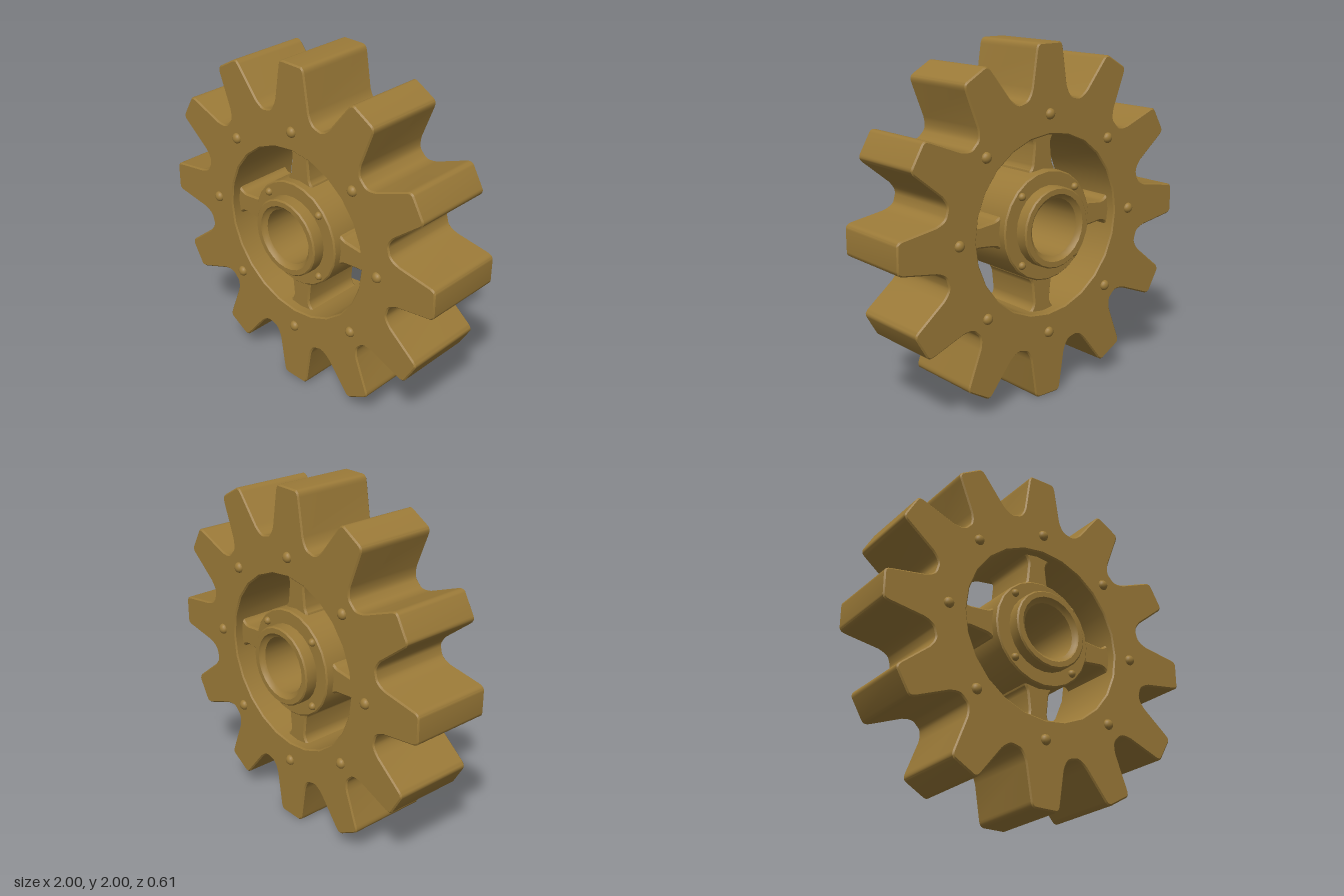
import * as THREE from 'three';
import { toCreasedNormals } from 'three/addons/utils/BufferGeometryUtils.js';

const TEETH = 12;
const HALF = 0.24; // half thickness of the rim

// Extrude centred on z, with a small bevel kept inside the outline
function slab(shape, half, bevel) {
  const geo = new THREE.ExtrudeGeometry(shape, {
    depth: 2 * (half - bevel), curveSegments: 5,
    bevelEnabled: true, bevelThickness: bevel, bevelSize: bevel, bevelOffset: -bevel, bevelSegments: 1,
  });
  geo.translate(0, 0, -(half - bevel));
  return toCreasedNormals(geo, 0.6);
}

// Toothed outline with a 24-sided opening
function gearShape() {
  const shape = new THREE.Shape();
  for (let i = 0; i < TEETH; i++) {
    const a = -i * 2 * Math.PI / TEETH;
    // point given in the frame of one upright tooth
    const p = (x, y) => [x * Math.cos(a) - y * Math.sin(a), x * Math.sin(a) + y * Math.cos(a)];
    if (i === 0) shape.moveTo(...p(-0.168, 0.699));
    else shape.lineTo(...p(-0.168, 0.699));
    // rounded root, then up the flank and over the tip
    shape.quadraticCurveTo(...p(-0.142, 0.708), ...p(-0.125, 0.765));
    shape.lineTo(...p(-0.094, 0.965));
    shape.quadraticCurveTo(...p(-0.088, 1), ...p(-0.062, 1));
    shape.lineTo(...p(0.062, 1));
    shape.quadraticCurveTo(...p(0.088, 1), ...p(0.094, 0.965));
    shape.lineTo(...p(0.125, 0.765));
    shape.quadraticCurveTo(...p(0.142, 0.708), ...p(0.168, 0.699));
  }
  shape.closePath();
  // the opening runs against the direction of the outline
  const ring = [];
  for (let i = 0; i < 24; i++) {
    const t = i * Math.PI / 12;
    ring.push(new THREE.Vector2(0.508 * Math.cos(t), 0.508 * Math.sin(t)));
  }
  shape.holes.push(new THREE.Path(ring));
  return shape;
}

// Spoke with flared ends, pointing up
function spokeShape() {
  const s = new THREE.Shape();
  s.moveTo(-0.09, 0.28);
  s.lineTo(0.09, 0.28);
  s.lineTo(0.087, 0.31);
  s.quadraticCurveTo(0.072, 0.325, 0.07, 0.35);
  s.lineTo(0.06, 0.445);
  s.quadraticCurveTo(0.062, 0.49, 0.1, 0.503);
  s.lineTo(0.1, 0.53);
  s.lineTo(-0.1, 0.53);
  s.lineTo(-0.1, 0.503);
  s.quadraticCurveTo(-0.062, 0.49, -0.06, 0.445);
  s.lineTo(-0.07, 0.35);
  s.quadraticCurveTo(-0.072, 0.325, -0.087, 0.31);
  s.closePath();
  return s;
}

export function createModel() {
  const model = new THREE.Group();
  model.name = 'gearWheel';
  const bronze = new THREE.MeshStandardMaterial({ color: 0x9b7a38 });
  bronze.name = 'bronze';

  const wheel = new THREE.Group();
  wheel.name = 'wheel';
  wheel.position.y = 1;
  model.add(wheel);

  const add = (name, geo) => {
    const mesh = new THREE.Mesh(geo, bronze);
    mesh.name = name;
    wheel.add(mesh);
    return mesh;
  };

  add('toothedRim', slab(gearShape(), HALF, 0.008));

  // Spokes
  const spoke = slab(spokeShape(), 0.185, 0.01);
  for (let i = 0; i < 4; i++) add('spoke', spoke).rotation.z = i * Math.PI / 2;

  // Hub: flange, raised collar and chamfered bore, mirrored front to back
  const side = [
    [0.312, 0.224], [0.304, 0.232], [0.228, 0.232], [0.228, 0.297],
    [0.22, 0.305], [0.19, 0.305], [0.182, 0.292], [0.163, 0.28],
  ];
  const profile = [
    ...side.map(([r, z]) => [r, -z]).reverse(),
    ...side,
    [0.163, -0.28],
  ].map(([r, z]) => new THREE.Vector2(r, z));
  const hub = new THREE.LatheGeometry(profile, 24).toNonIndexed();
  hub.rotateX(Math.PI / 2);
  add('hub', toCreasedNormals(hub, 0.6));

  // Domed rivets on both faces
  const dome = new THREE.SphereGeometry(1, 14, 6, 0, Math.PI * 2, 0, Math.PI / 2);
  dome.rotateX(Math.PI / 2);
  const rivets = (name, count, start, radius, size, height, z) => {
    for (const face of [0, 1]) {
      for (let i = 0; i < count; i++) {
        const t = start + i * 2 * Math.PI / count;
        const rivet = add(name, dome);
        rivet.scale.set(size, size, height);
        rivet.position.set(radius * Math.cos(t), radius * Math.sin(t), face ? -z : z);
        rivet.rotation.y = face * Math.PI;
      }
    }
  };
  rivets('rimRivet', 8, 0, 0.62, 0.031, 0.026, HALF - 0.001);
  rivets('hubRivet', 4, Math.PI / 4, 0.272, 0.023, 0.024, 0.231);

  return model;
}
